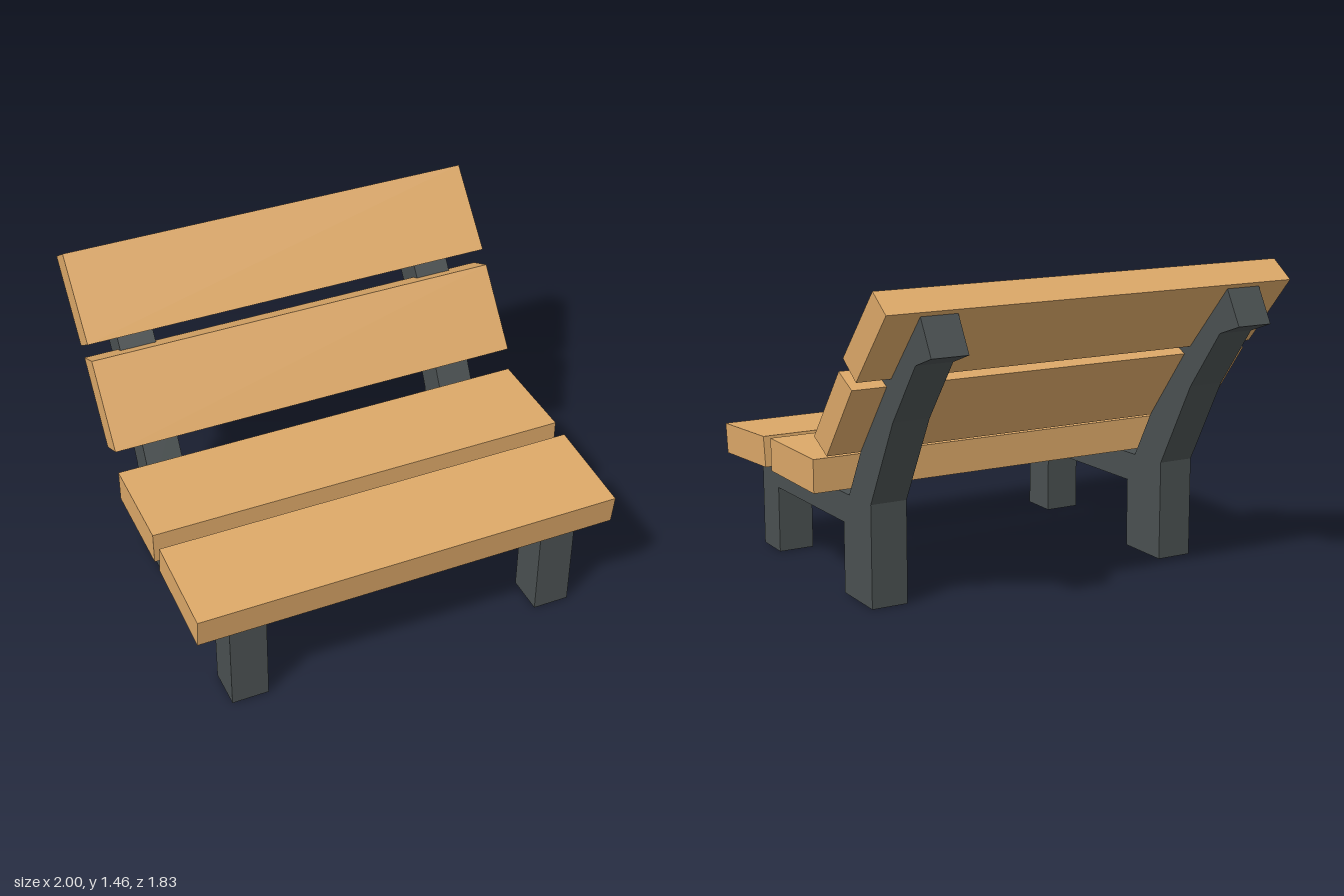
import * as THREE from 'three';

// Extrude a [z, y] side profile across x, centred on x
function extrudeAcross(profile, width, x, material, name) {
  const shape = new THREE.Shape(profile.map(([z, y]) => new THREE.Vector2(z, y)));
  const geometry = new THREE.ExtrudeGeometry(shape, { depth: width, bevelEnabled: false });
  geometry.translate(0, 0, -width / 2);
  geometry.rotateY(-Math.PI / 2);
  const mesh = new THREE.Mesh(geometry, material);
  mesh.position.x = x;
  mesh.name = name;
  return mesh;
}

export function createModel() {
  const bench = new THREE.Group();
  bench.name = 'bench';
  const wood = new THREE.MeshStandardMaterial({ color: 0xdca868 });
  wood.name = 'wood';
  const iron = new THREE.MeshStandardMaterial({ color: 0x4a5051 });
  iron.name = 'dark iron';

  // Side frames: front leg, seat rail, rear leg and bent back support in one piece
  const frame = [
    [0.85, 0], [0.85, 0.43], [0.66, 0.447], [-0.13, 0.465],
    [-0.285, 0.74], [-0.475, 1.04], [-0.513, 1.09], [-0.82, 1.36],
    [-0.913, 1.198], [-0.777, 1.149], [-0.567, 0.875], [-0.345, 0.47],
    [-0.345, 0], [-0.068, 0], [-0.068, 0.328], [0.664, 0.318], [0.664, 0],
  ];
  bench.add(extrudeAcross(frame, 0.172, 0.754, iron, 'leftFrame'));
  bench.add(extrudeAcross(frame, 0.172, -0.754, iron, 'rightFrame'));

  // Planks: seat front to back, then backrest bottom to top
  const planks = {
    frontSeatPlank: [[0.914, 0.602], [0.445, 0.631], [0.427, 0.489], [0.897, 0.46]],
    rearSeatPlank: [[0.361, 0.64], [-0.11, 0.64], [-0.11, 0.487], [0.361, 0.487]],
    lowerBackPlank: [[-0.127, 0.747], [-0.391, 1.077], [-0.515, 1.017], [-0.254, 0.685]],
    upperBackPlank: [[-0.435, 1.139], [-0.723, 1.455], [-0.841, 1.374], [-0.557, 1.057]],
  };
  for (const [name, profile] of Object.entries(planks)) {
    bench.add(extrudeAcross(profile, 2, 0, wood, name));
  }
  return bench;
}
